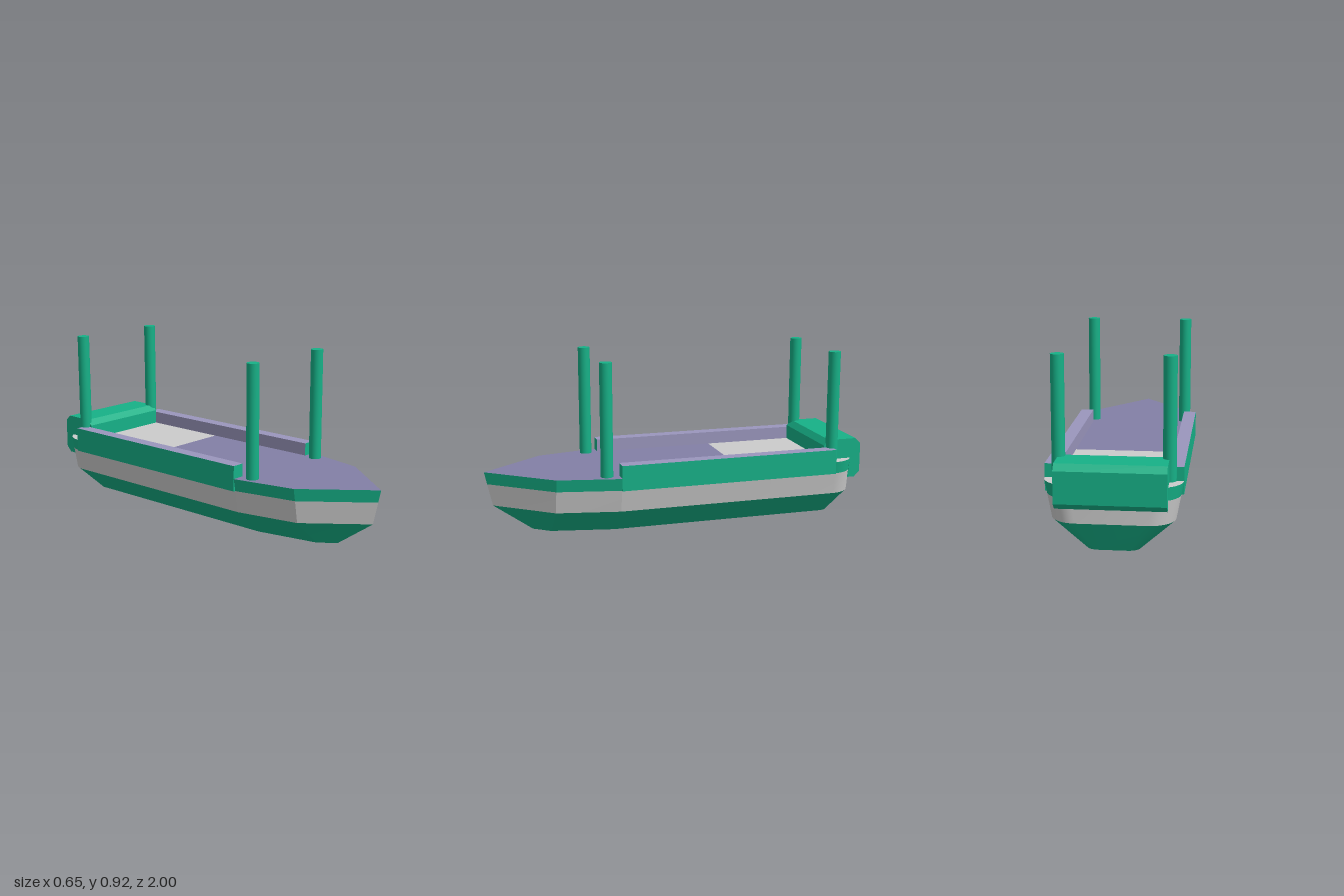
import * as THREE from 'three';
import { toCreasedNormals } from 'three/addons/utils/BufferGeometryUtils.js';

const paint = (color) => new THREE.MeshStandardMaterial({ color });
const green = paint(0x16b187);
const grey = paint(0xcccccc);
const deckMauve = paint(0x837fa6);
const railMauve = paint(0x9a96bd);

const RAIL_FRONT = 0.345, STERN_ARC = -0.83, DECK_SPLIT = -0.305, DECK_Y = 0.328;

// Waterlines: half width, shoulder half width, bow tip z, stern corner radii
const levels = [
  { y: 0, w: 0.13, k: 0.065, tip: 0.755, rx: 0.06, rz: 0.06 },
  { y: 0.146, w: 0.293, k: 0.228, tip: 0.96, rx: 0.125, rz: 0.125 },
  { y: 0.263, w: 0.315, k: 0.248, tip: 0.986, rx: 0.126, rz: 0.126 },
  { y: DECK_Y, w: 0.327, k: 0.26, tip: 1, rx: 0.127, rz: 0.127 },
];

// Plan outline from the bow tip, counter-clockwise seen from above
function outline({ w, k, tip, rx, rz }) {
  const side = [[k, 0.67], [w, RAIL_FRONT], [w, DECK_SPLIT]];
  const n = 10;
  for (let i = 0; i <= n; i++) {
    const a = (i / n) * Math.PI / 2;
    side.push([w - rx + rx * Math.cos(a), STERN_ARC - rz * Math.sin(a)]);
  }
  return [[0, tip], ...side, ...side.map(([x, z]) => [-x, z]).reverse()];
}

// Side band between two waterlines
function band(lo, hi) {
  const a = outline(lo), b = outline(hi), pos = [];
  a.forEach((p, i) => {
    const j = (i + 1) % a.length;
    const p0 = [p[0], lo.y, p[1]], p1 = [a[j][0], lo.y, a[j][1]];
    const q0 = [b[i][0], hi.y, b[i][1]], q1 = [b[j][0], hi.y, b[j][1]];
    pos.push(...p0, ...p1, ...q1, ...p0, ...q1, ...q0);
  });
  const g = new THREE.BufferGeometry();
  g.setAttribute('position', new THREE.Float32BufferAttribute(pos, 3));
  return toCreasedNormals(g, 0.19);
}

// Horizontal sheet facing up (dir 1) or down (dir -1)
function sheet(points, y, dir) {
  const shape = new THREE.Shape(points.map(([x, z]) => new THREE.Vector2(x, -dir * z)));
  return new THREE.ShapeGeometry(shape).rotateX(-dir * Math.PI / 2).translate(0, y, 0);
}

export function createModel() {
  const model = new THREE.Group();
  const add = (name, geometry, material) => {
    const mesh = new THREE.Mesh(geometry, material);
    mesh.name = name;
    model.add(mesh);
    return mesh;
  };

  // Hull
  add('lowerHull', band(levels[0], levels[1]), green);
  add('middleHull', band(levels[1], levels[2]), grey);
  add('upperHull', band(levels[2], levels[3]), green);
  add('hullBottom', sheet(outline(levels[0]), 0, -1), green);

  // Deck, split into fore and aft areas
  const rim = outline(levels[3]);
  add('foreDeck', sheet(rim.filter((p) => p[1] >= DECK_SPLIT), DECK_Y, 1), deckMauve);
  add('aftDeck', sheet(rim.filter((p) => p[1] <= DECK_SPLIT), DECK_Y, 1), grey);

  // Side rails (green outside, mauve top and inside) and corner posts
  const length = RAIL_FRONT - STERN_ARC;
  for (const s of [1, -1]) {
    const label = s > 0 ? 'left' : 'right';
    const sides = s > 0 ? [green, railMauve] : [railMauve, green];
    add(label + 'Rail', new THREE.BoxGeometry(0.067, 0.132, length),
      [...sides, railMauve, green, green, green])
      .position.set(s * 0.2935, 0.329, (RAIL_FRONT + STERN_ARC) / 2);
    for (const [end, z] of [['Front', 0.41], ['Rear', -0.83]]) {
      add(label + end + 'Post', new THREE.CylinderGeometry(0.032, 0.032, 0.587, 32), green)
        .position.set(s * 0.26, 0.6215, z);
    }
  }

  // Chamfered stern box overhanging the hull, extruded across the beam
  const profile = [
    [0.787, 0.3], [0.94, 0.3], [0.93, 0.22], [0.97, 0.22], [1, 0.25],
    [1, 0.405], [0.97, 0.435], [0.815, 0.435], [0.787, 0.405],
  ].map(([x, y]) => new THREE.Vector2(x, y));
  add('sternBox', new THREE.ExtrudeGeometry(new THREE.Shape(profile), { depth: 0.52, bevelEnabled: false })
    .rotateY(Math.PI / 2).translate(-0.26, 0, 0), green);

  return model;
}
